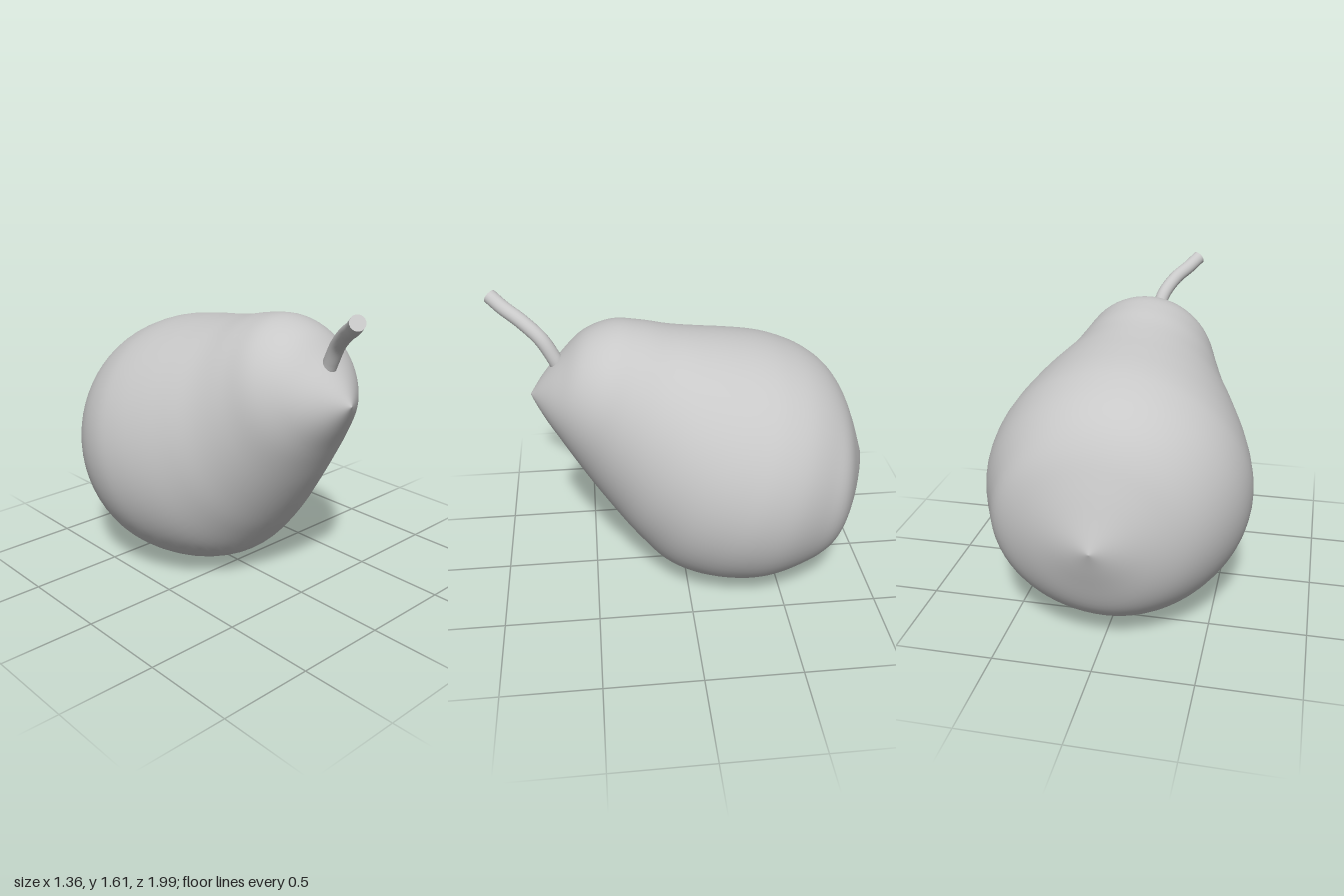
import * as THREE from 'three';

// Tilted rings from blossom tip to base: [topZ, topY, bottomZ, bottomY, half width at -x, half width at +x]
const RINGS = [
  [0.79, 1.11, 0.79, 1.11, 0, 0],
  [0.72, 1.21, 0.755, 1.04, 0.09, 0.09],
  [0.62, 1.32, 0.71, 0.96, 0.19, 0.19],
  [0.5, 1.43, 0.655, 0.87, 0.28, 0.28],
  [0.35, 1.48, 0.6, 0.775, 0.355, 0.35],
  [0.2, 1.465, 0.51, 0.62, 0.41, 0.4],
  [0.05, 1.43, 0.4, 0.45, 0.475, 0.465],
  [-0.1, 1.405, 0.29, 0.3, 0.55, 0.555],
  [-0.25, 1.385, 0.15, 0.14, 0.62, 0.625],
  [-0.4, 1.36, 0, 0.055, 0.665, 0.665],
  [-0.52, 1.325, -0.17, 0.012, 0.68, 0.68],
  [-0.65, 1.265, -0.35, 0, 0.65, 0.66],
  [-0.76, 1.18, -0.55, 0.04, 0.57, 0.595],
  [-0.84, 1.07, -0.72, 0.13, 0.46, 0.52],
  [-0.9, 0.93, -0.84, 0.25, 0.32, 0.36],
  [-0.955, 0.77, -0.93, 0.45, 0.16, 0.18],
  [-1, 0.64, -1, 0.64, 0, 0],
];

// Smooth skin lofted through the rings
function fruitGeometry(sides = 64, steps = 80) {
  const curve = (pick) => new THREE.CatmullRomCurve3(RINGS.map(pick), false, 'catmullrom', 0.5);
  const topLine = curve((r) => new THREE.Vector3(0, r[1], r[0]));
  const bottomLine = curve((r) => new THREE.Vector3(0, r[3], r[2]));
  const widthLine = curve((r) => new THREE.Vector3(r[4], r[5], 0));
  const positions = [];
  const index = [];
  for (let i = 0; i <= steps; i++) {
    const t = i / steps;
    const top = topLine.getPoint(t);
    const bottom = bottomLine.getPoint(t);
    const width = widthLine.getPoint(t);
    const centre = top.clone().add(bottom).multiplyScalar(0.5);
    const up = top.clone().sub(centre);
    for (let j = 0; j < sides; j++) {
      const a = (j / sides) * Math.PI * 2;
      const s = Math.sin(a);
      const p = centre.clone().addScaledVector(up, Math.cos(a));
      positions.push(s * (s < 0 ? width.x : width.y), p.y, p.z);
      if (i === steps) continue;
      const k = (j + 1) % sides;
      const near = i * sides;
      const far = near + sides;
      if (i > 0) index.push(near + j, near + k, far + j);
      if (i < steps - 1) index.push(near + k, far + k, far + j);
      else index.push(near + k, far + k, far + j);
    }
  }
  const geometry = new THREE.BufferGeometry();
  geometry.setAttribute('position', new THREE.Float32BufferAttribute(positions, 3));
  geometry.setIndex(index);
  geometry.computeVertexNormals();
  return geometry;
}

export function createModel() {
  const group = new THREE.Group();
  group.name = 'pear';
  const grey = new THREE.MeshStandardMaterial({ color: 0xc8c8c8 });
  grey.name = 'light grey';
  const add = (name, geometry) => {
    const mesh = new THREE.Mesh(geometry, grey);
    mesh.name = name;
    group.add(mesh);
    return mesh;
  };

  add('fruit', fruitGeometry());

  // Bent stalk
  const path = new THREE.CatmullRomCurve3([
    new THREE.Vector3(-0.005, 1.22, 0.62),
    new THREE.Vector3(-0.01, 1.31, 0.66),
    new THREE.Vector3(-0.03, 1.4, 0.715),
    new THREE.Vector3(-0.085, 1.48, 0.81),
    new THREE.Vector3(-0.15, 1.53, 0.9),
    new THREE.Vector3(-0.2, 1.575, 0.965),
  ]);
  add('stem', new THREE.TubeGeometry(path, 40, 0.038, 20, false));

  // Cut end of the stalk
  const cap = add('stemEnd', new THREE.CircleGeometry(0.038, 20));
  cap.position.copy(path.getPoint(1));
  cap.quaternion.setFromUnitVectors(new THREE.Vector3(0, 0, 1), path.getTangent(1));

  return group;
}
